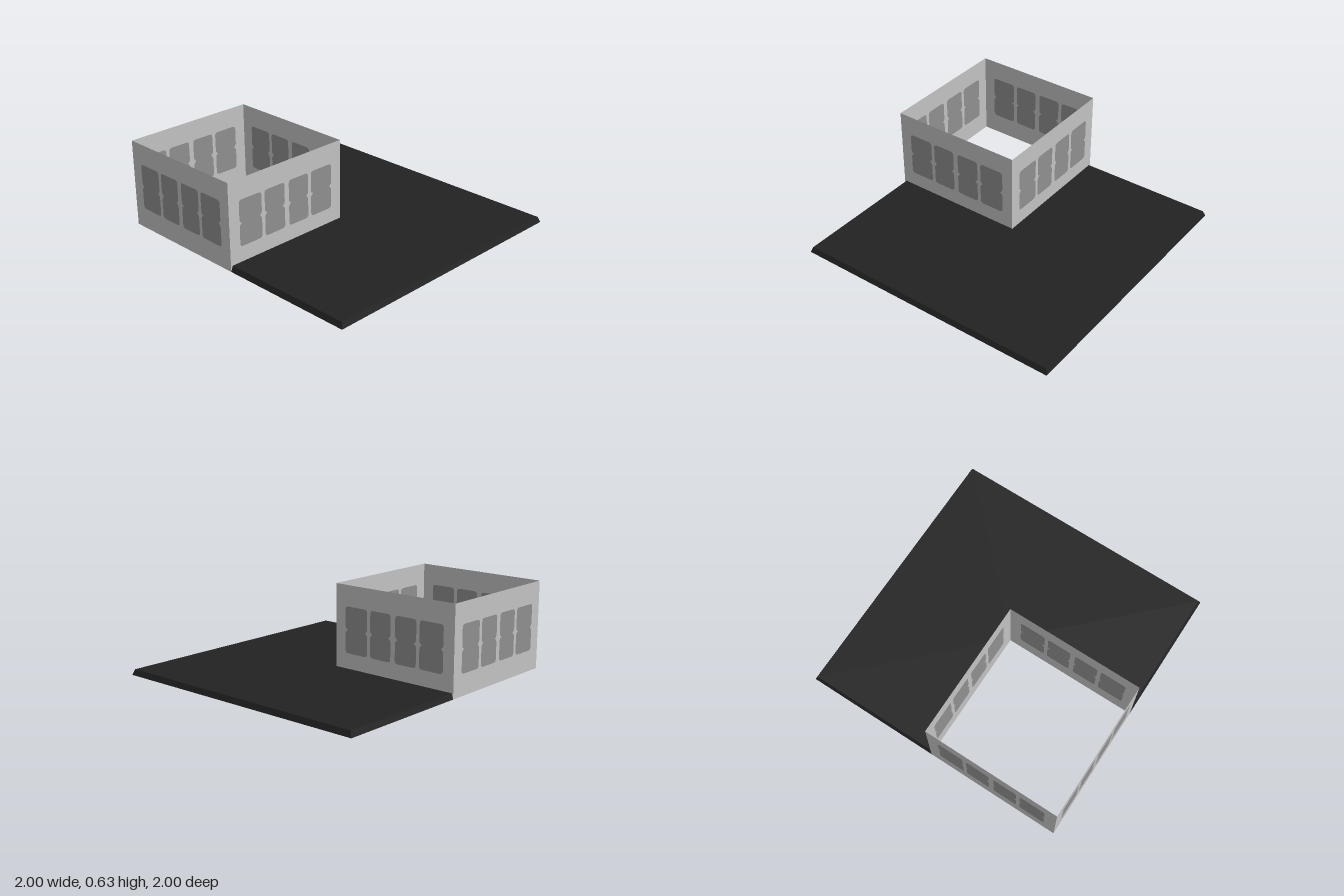
import * as THREE from 'three';

const make = (color) => new THREE.MeshStandardMaterial({ color, side: THREE.DoubleSide });

// Rounded panel, pinched inwards at mid height on both long sides
function panelPoints(x0, x1) {
  const y0 = 0.15, y1 = 0.481, r = 0.025, m = (y0 + y1) / 2, notch = 0.02, h = 0.03;
  const s = new THREE.Shape();
  s.moveTo(x0 + r, y0);
  s.lineTo(x1 - r, y0);
  s.quadraticCurveTo(x1, y0, x1, y0 + r);
  s.lineTo(x1, m - h);
  s.quadraticCurveTo(x1, m - 0.012, x1 - notch, m);
  s.quadraticCurveTo(x1, m + 0.012, x1, m + h);
  s.lineTo(x1, y1 - r);
  s.quadraticCurveTo(x1, y1, x1 - r, y1);
  s.lineTo(x0 + r, y1);
  s.quadraticCurveTo(x0, y1, x0, y1 - r);
  s.lineTo(x0, m + h);
  s.quadraticCurveTo(x0, m + 0.012, x0 + notch, m);
  s.quadraticCurveTo(x0, m - 0.012, x0, m - h);
  s.lineTo(x0, y0 + r);
  s.quadraticCurveTo(x0, y0, x0 + r, y0);
  return s.getPoints(5);
}

export function createModel() {
  const wallGray = make(0xc2c2c2);
  wallGray.name = 'wallGray';
  const panelGray = make(0x8f8f8f);
  panelGray.name = 'panelGray';
  const slabBlack = make(0x222222);
  slabBlack.name = 'slabBlack';

  const model = new THREE.Group();
  const add = (parent, name, geometry, material) => {
    const mesh = new THREE.Mesh(geometry, material);
    mesh.name = name;
    parent.add(mesh);
  };

  // Four thin walls round an open square, each with four inlaid panels
  const outlines = [[-0.414, -0.222], [-0.195, -0.019], [0.019, 0.195], [0.222, 0.414]]
    .map(([a, b]) => panelPoints(a, b));
  const wall = new THREE.Shape([[-0.5, 0], [0.5, 0], [0.5, 0.63], [-0.5, 0.63]]
    .map(([x, y]) => new THREE.Vector2(x, y)));
  wall.holes = outlines.map((p) => new THREE.Path(p));
  const wallGeometry = new THREE.ShapeGeometry(wall).translate(0, 0, 0.5);
  const panelGeometry = new THREE.ShapeGeometry(outlines.map((p) => new THREE.Shape(p))).translate(0, 0, 0.5);

  const enclosure = new THREE.Group();
  enclosure.name = 'enclosure';
  enclosure.position.set(-0.5, 0, 0.5);
  ['front', 'left', 'back', 'right'].forEach((side, i) => {
    const group = new THREE.Group();
    group.name = side + 'Wall';
    group.rotation.y = i * Math.PI / 2;
    add(group, side + 'WallSheet', wallGeometry, wallGray);
    add(group, side + 'WallPanels', panelGeometry, panelGray);
    enclosure.add(group);
  });
  model.add(enclosure);

  // L-shaped slab: a top sheet, open underneath, with sloping outer edges
  const height = 0.04, inset = 0.985;
  const foot = [[-1, 0], [-1, -1], [1, -1], [1, 1], [0, 1]];
  const rim = foot.map(([x, z]) => [x * inset, z * inset]);
  const top = new THREE.Shape([...rim, [0, 0]].map(([x, z]) => new THREE.Vector2(x, -z)));
  const slab = new THREE.Group();
  slab.name = 'slab';
  add(slab, 'slabTop', new THREE.ShapeGeometry(top).rotateX(-Math.PI / 2).translate(0, height, 0), slabBlack);

  const positions = [];
  for (let i = 0; i < foot.length - 1; i++) {
    const [a, b] = [foot[i], foot[i + 1]].map(([x, z]) => [x, 0, z]);
    const [c, d] = [rim[i + 1], rim[i]].map(([x, z]) => [x, height, z]);
    positions.push(...a, ...c, ...b, ...a, ...d, ...c);
  }
  const edge = new THREE.BufferGeometry();
  edge.setAttribute('position', new THREE.Float32BufferAttribute(positions, 3));
  edge.computeVertexNormals();
  add(slab, 'slabEdge', edge, slabBlack);
  model.add(slab);

  return model;
}
